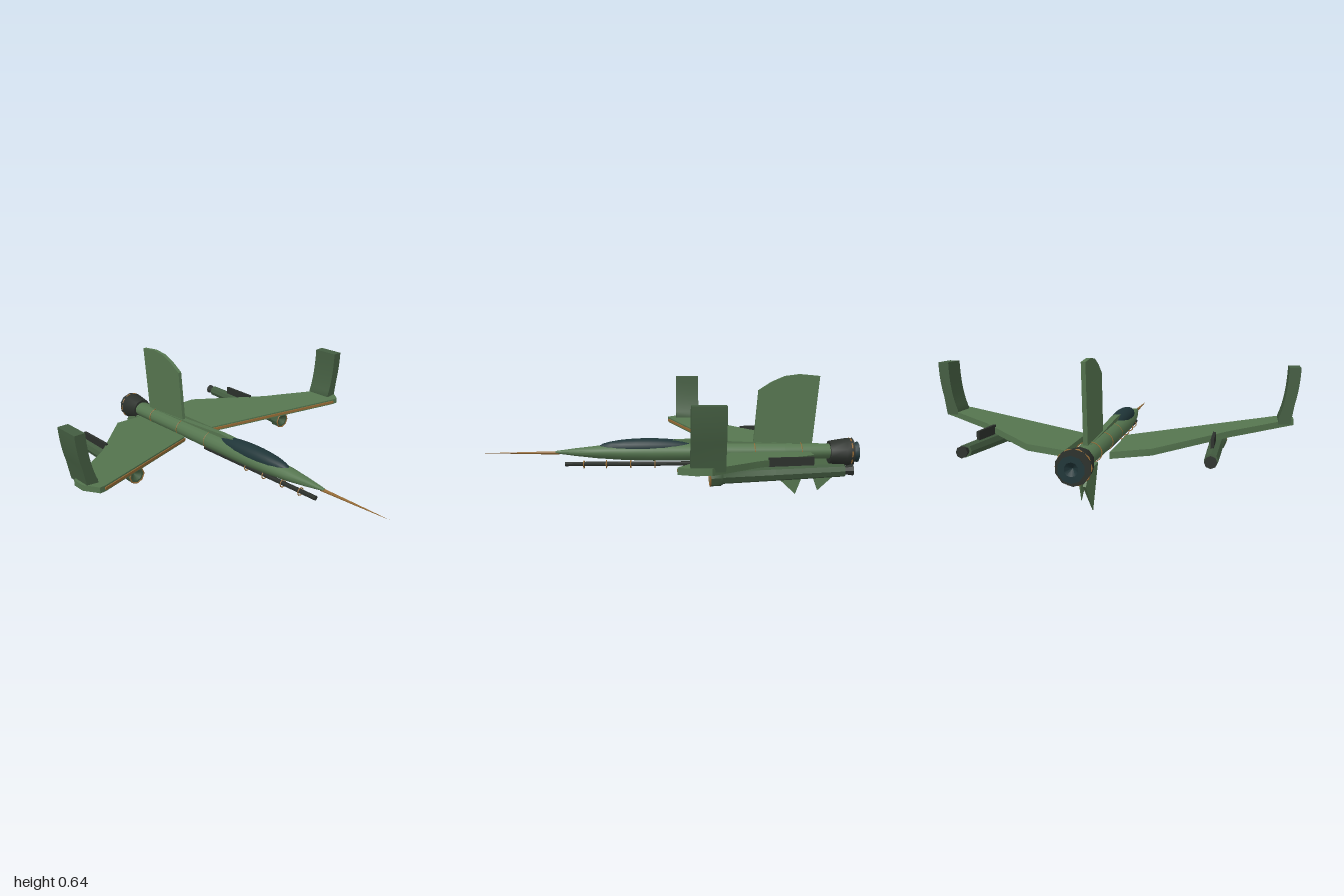
import * as THREE from 'three';
import { toCreasedNormals } from 'three/addons/utils/BufferGeometryUtils.js';

const material = (color) => new THREE.MeshStandardMaterial({ color });
const green = material(0x55754f);
const darkGreen = material(0x435c40);
const glass = material(0x1f3538);
const dark = material(0x2b302b);
const brass = material(0x946a35);

const AXIS_Y = 0.232; // height of the fuselage centreline

function add(parent, name, geometry, mat, x = 0, y = 0, z = 0) {
  const mesh = new THREE.Mesh(toCreasedNormals(geometry, 0.7), mat);
  mesh.name = name;
  mesh.position.set(x, y, z);
  parent.add(mesh);
  return mesh;
}

const shapeOf = (points) => new THREE.Shape(points.map(([a, b]) => new THREE.Vector2(a, b)));

const extrude = (shape, depth) =>
  new THREE.ExtrudeGeometry(shape, { depth, bevelEnabled: false, curveSegments: 8 });

// Body of revolution along z; the profile lists [z, radius] from back to front
function turned(profile, sides) {
  const points = profile.map(([z, r]) => new THREE.Vector2(r, z));
  return new THREE.LatheGeometry(points, sides).rotateX(Math.PI / 2);
}

// Upright plate in the z-y plane, centred on x = 0
function plate(points, thickness) {
  return extrude(shapeOf(points.map(([z, y]) => [-z, y])), thickness)
    .translate(0, 0, -thickness / 2)
    .rotateY(Math.PI / 2);
}

// Flat panel in the x-z plane, raised towards the tip
function wingPanel(points, base, thickness) {
  const geometry = extrude(shapeOf(points.map(([x, z]) => [x, -z])), thickness).rotateX(-Math.PI / 2);
  const p = geometry.attributes.position;
  for (let i = 0; i < p.count; i++) {
    p.setY(i, p.getY(i) + base + (p.getX(i) - 0.1) * 0.094);
  }
  geometry.computeVertexNormals();
  return geometry;
}

function buildFuselage(root) {
  const body = add(root, 'fuselage', turned([
    [-0.86, 0], [-0.86, 0.05], [-0.6, 0.057], [-0.2, 0.06], [0.1, 0.061], [0.25, 0.055],
    [0.4, 0.042], [0.52, 0.025], [0.62, 0.008], [0.62, 0],
  ], 16), green, 0, AXIS_Y, 0);
  body.scale.y = 0.8;

  add(root, 'noseProbe', turned([[0.6, 0], [0.6, 0.009], [0.8, 0.005], [1, 0]], 8), brass, 0, 0.228, 0);

  const canopy = add(root, 'canopy', new THREE.SphereGeometry(1, 20, 14), glass, 0, 0.256, 0.125);
  canopy.scale.set(0.051, 0.049, 0.268);

  add(root, 'spine', plate([
    [0.02, 0.25], [0.02, 0.295], [-0.1, 0.3], [-0.4, 0.285], [-0.8, 0.27], [-0.8, 0.24],
  ], 0.032), green);

  // Panel bands around the body
  for (const z of [-0.2, -0.44, -0.69]) {
    const band = add(root, 'bodyBand', new THREE.TorusGeometry(0.059, 0.0025, 5, 20), brass, 0, AXIS_Y, z);
    band.scale.y = 0.8;
  }

  // Engine nozzle with its inner cone
  add(root, 'nozzle', turned([
    [-0.97, 0], [-0.97, 0.077], [-0.93, 0.075], [-0.845, 0.062], [-0.845, 0],
  ], 10), dark, 0, 0.226, 0);
  add(root, 'exhaustCone', turned([
    [-0.97, 0], [-1, 0.03], [-1, 0.057], [-0.965, 0.045], [-0.965, 0],
  ], 10), glass, 0, 0.226, 0);
  add(root, 'nozzleBand', new THREE.TorusGeometry(0.075, 0.004, 5, 10), brass, 0, 0.226, -0.957);
}

function buildTail(root) {
  add(root, 'tailFin', plate([
    [-0.435, 0.26], [-0.46, 0.56], [-0.53, 0.605], [-0.6, 0.635], [-0.68, 0.645],
    [-0.785, 0.635], [-0.75, 0.26],
  ], 0.02), green);

  // Ventral fins, one ahead of the other, thinning towards the tip
  for (const side of [1, -1]) {
    const at = (dz) => -0.73 + side * dz;
    const points = [[at(0.22), 0.145], [at(0.07), 0.005], [at(0), 0.2], [at(0.17), 0.2]];
    const geometry = plate(points, 0.016);
    const p = geometry.attributes.position;
    for (let i = 0; i < p.count; i++) {
      p.setX(i, p.getX(i) * (0.15 + p.getY(i) * 4.25) + side * 0.042);
    }
    geometry.computeVertexNormals();
    add(root, 'ventralFin', geometry, green);
  }
}

function buildGun(root) {
  const barrel = new THREE.CylinderGeometry(0.012, 0.012, 0.82, 10).rotateX(Math.PI / 2);
  add(root, 'bellyBarrel', barrel, dark, 0, 0.167, 0.16);
  for (const z of [0.47, 0.35, 0.22, 0.09]) {
    add(root, 'barrelRing', new THREE.TorusGeometry(0.02, 0.003, 5, 12), brass, 0, 0.165, z);
  }
}

function buildPod(wing) {
  const pod = new THREE.Group();
  pod.name = 'wingPod';
  pod.position.set(0.536, 0.208, -0.16);
  pod.rotation.x = 0.045;
  wing.add(pod);
  add(pod, 'podBody', turned([
    [-0.62, 0], [-0.62, 0.03], [-0.3, 0.034], [-0.06, 0.036], [-0.05, 0.045], [0, 0.045],
    [0, 0.03], [-0.03, 0],
  ], 8), darkGreen);
  add(pod, 'podRing', new THREE.TorusGeometry(0.043, 0.004, 5, 8), brass);
  add(pod, 'podTail', turned([[-0.66, 0], [-0.66, 0.027], [-0.61, 0.017], [-0.61, 0]], 8), dark);
  add(wing, 'podFin', plate([
    [-0.43, 0.23], [-0.43, 0.295], [-0.64, 0.298], [-0.64, 0.23],
  ], 0.014), dark, 0.532, 0, 0);
}

function buildWing(root, side) {
  const wing = new THREE.Group();
  wing.name = side > 0 ? 'leftWing' : 'rightWing';
  wing.scale.x = side;
  root.add(wing);

  add(wing, 'wingPanel', wingPanel([
    [0.1, -0.31], [0.82, -0.005], [0.85, 0], [0.9, -0.07], [0.9, -0.14], [0.82, -0.2],
    [0.68, -0.31], [0.6, -0.37], [0.28, -0.7], [0.1, -0.725],
  ], 0.214, 0.03), green);

  // Thin strip on the leading edge
  add(wing, 'leadingEdge', wingPanel([
    [0.1, -0.31], [0.1, -0.304], [0.82, 0.001], [0.82, -0.005],
  ], 0.222, 0.014), brass);

  // Upturned tip with a curved front profile
  const profile = new THREE.Shape();
  profile.moveTo(0.825, 0.3);
  profile.lineTo(0.825, 0.325);
  profile.quadraticCurveTo(0.865, 0.42, 0.87, 0.575);
  profile.lineTo(0.925, 0.575);
  profile.quadraticCurveTo(0.922, 0.48, 0.9, 0.4);
  profile.lineTo(0.882, 0.3);
  profile.closePath();
  add(wing, 'winglet', extrude(profile, 0.145), darkGreen, 0, 0, -0.197);

  buildPod(wing);
}

export function createModel() {
  const root = new THREE.Group();
  root.name = 'aircraft';
  buildFuselage(root);
  buildTail(root);
  buildGun(root);
  for (const side of [1, -1]) buildWing(root, side);
  return root;
}
